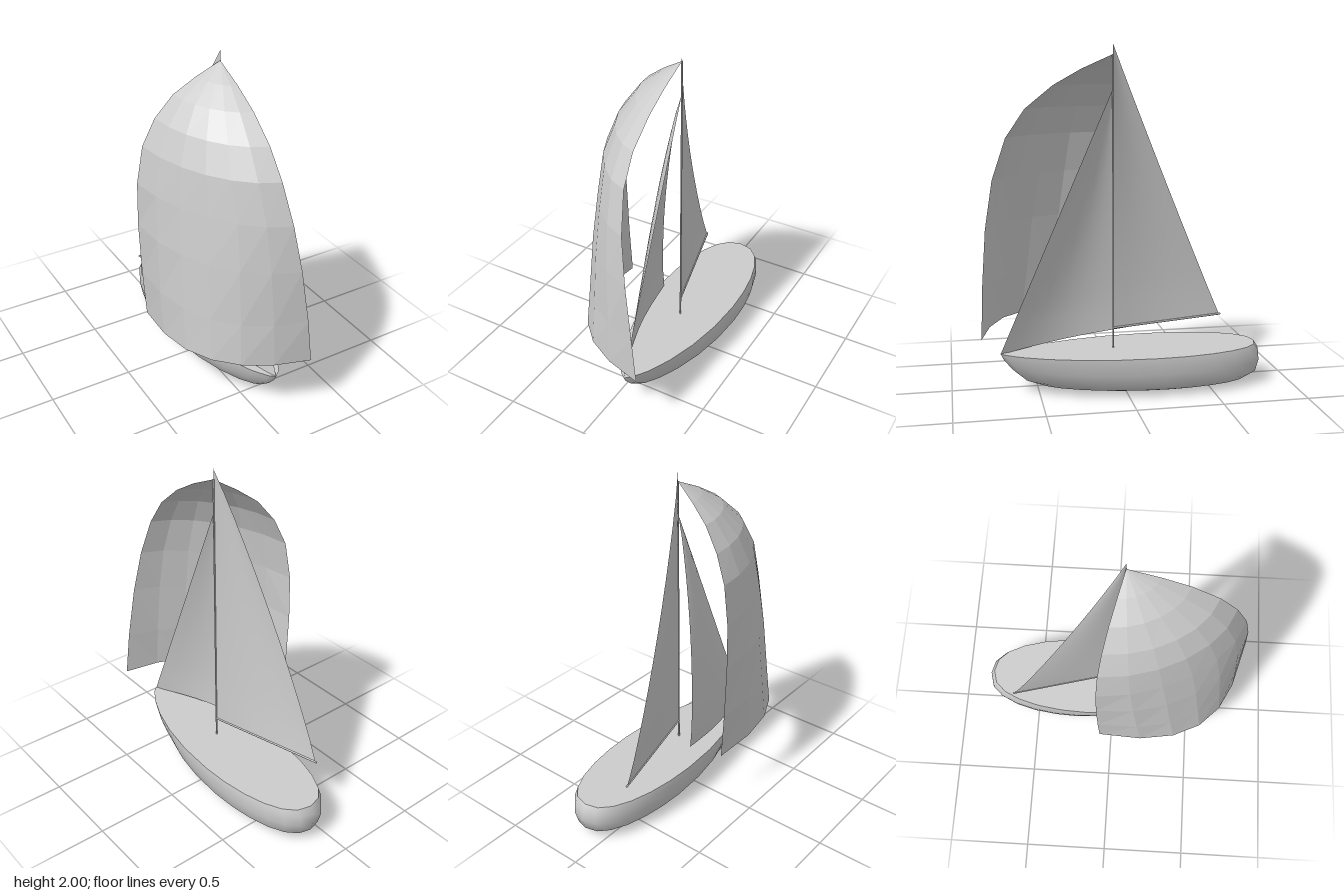
import * as THREE from 'three';

const grey = (extra = {}) => new THREE.MeshStandardMaterial({ color: 0xcccccc, ...extra });
const V = (x, y, z) => new THREE.Vector3(x, y, z);
const MAST_X = 0.1, MAST_Z = 0.06;

function named(name, geometry, material) {
  const mesh = new THREE.Mesh(geometry, material);
  mesh.name = name;
  return mesh;
}

function buildGeometry(points, index) {
  const g = new THREE.BufferGeometry().setFromPoints(points);
  g.setIndex(index);
  g.computeVertexNormals();
  return g;
}

// Sheet of cols x rows cells, point(u, v) gives the position
function sheet(cols, rows, point) {
  const pts = [], idx = [];
  for (let j = 0; j <= rows; j++)
    for (let i = 0; i <= cols; i++) pts.push(point(i / cols, j / rows, j));
  for (let j = 0; j < rows; j++)
    for (let i = 0; i < cols; i++) {
      const a = j * (cols + 1) + i, c = a + cols + 1;
      idx.push(a, a + 1, c, a + 1, c + 1, c);
    }
  return buildGeometry(pts, idx);
}

function spar(name, from, to, radius) {
  const dir = to.clone().sub(from);
  const mesh = named(name, new THREE.CylinderGeometry(radius, radius, dir.length(), 8), grey());
  mesh.position.copy(from).add(to).multiplyScalar(0.5);
  mesh.quaternion.setFromUnitVectors(V(0, 1, 0), dir.normalize());
  return mesh;
}

// Waterline outline: blunt stern, tapered bow
const SIDES = 24;
function waterline([y, bow, stern, width]) {
  const mid = stern + 0.42 * (bow - stern);
  return Array.from({ length: SIDES }, (_, i) => {
    const t = (i / SIDES) * Math.PI * 2, c = Math.cos(t), s = Math.sin(t);
    const w = Math.sign(c) * Math.abs(c) ** (s > 0 ? 1.45 : 0.85) * width;
    return V(MAST_X + w, y, mid + s * (s > 0 ? bow - mid : mid - stern));
  });
}

function makeHull() {
  const hull = new THREE.Group();
  hull.name = 'hull';
  // height, bow z, stern z, half width
  const levels = [
    [0.24, 0.72, -0.80, 0.255], [0.2, 0.70, -0.825, 0.258], [0.14, 0.65, -0.83, 0.25],
    [0.07, 0.57, -0.81, 0.235], [0.035, 0.47, -0.75, 0.20], [0.01, 0.3, -0.64, 0.135],
    [0, 0.15, -0.5, 0.07],
  ];
  const pts = levels.flatMap(waterline), idx = [];
  const last = (levels.length - 1) * SIDES, keel = pts.length;
  pts.push(V(MAST_X, 0, -0.18));
  for (let i = 0; i < SIDES; i++) {
    const n = (i + 1) % SIDES;
    for (let l = 0; l < last; l += SIDES)
      idx.push(l + i, l + n, l + SIDES + i, l + n, l + SIDES + n, l + SIDES + i);
    idx.push(keel, last + i, last + n);
  }
  hull.add(named('hullShell', buildGeometry(pts, idx), grey()));

  // Flat deck closing the top
  const rim = waterline(levels[0]), deckIdx = [];
  for (let i = 0; i < SIDES; i++) deckIdx.push(SIDES, (i + 1) % SIDES, i);
  hull.add(named('deck', buildGeometry([...rim, V(MAST_X, 0.24, -0.15)], deckIdx), grey()));
  return hull;
}

// Triangular sail; belly(u, v) pushes the cloth toward -x
function triangleSail(name, tack, clew, head, belly) {
  const g = sheet(8, 12, (u, v) => {
    const p = tack.clone().lerp(clew, u).lerp(head, v);
    p.x -= belly(u, v);
    return p;
  });
  return named(name, g, grey({ side: THREE.DoubleSide }));
}

// Ballooning front sail: each row is a curve between its two free edges
function makeSpinnaker() {
  // edge A: x, y, z; edge B: x, y; fullness of the row
  const rows = [
    [0.255, 0.375, 0.83, -0.325, 0.35, 1], [0.225, 0.65, 0.82, -0.345, 0.65, 0.65],
    [0.18, 0.98, 0.795, -0.358, 0.98, 0.3], [0.14, 1.25, 0.75, -0.355, 1.25, 0.05],
    [0.11, 1.48, 0.67, -0.32, 1.48, 0], [0.1, 1.64, 0.56, -0.25, 1.64, 0],
    [0.1, 1.77, 0.4, -0.15, 1.77, 0], [0.1, 1.86, 0.24, -0.03, 1.86, 0],
    [0.1, 1.94, 0.06, 0.1, 1.94, 0],
  ];
  const g = sheet(6, rows.length - 1, (u, v, j) => {
    const [ax, ay, az, bx, by, k] = rows[j];
    const w = 1 - u, b0 = w ** 3, b1 = 3 * w * w * u, b2 = 3 * w * u * u, b3 = u ** 3;
    const f = b0 + b1 * (1 + 0.08 * k) + b2 * (0.55 + 0.28 * k);
    const h = b1 * (0.55 + 0.58 * k) + b2 * (1 + 0.5 * k) + b3;
    const bz = -0.3 * (MAST_X - bx);
    return V(
      MAST_X + f * (ax - MAST_X) + h * (bx - MAST_X),
      ay + (by - ay) * u + (j === 0 ? 0.03 * Math.sin(Math.PI * u) : 0),
      MAST_Z + f * (az - MAST_Z) + h * bz,
    );
  });
  return named('spinnaker', g, grey({ side: THREE.DoubleSide, flatShading: true }));
}

export function createModel() {
  const boat = new THREE.Group();
  boat.name = 'sailboat';
  boat.add(makeHull());

  // Mast and boom
  const boomEnd = V(-0.086, 0.36, -0.645);
  boat.add(spar('mast', V(MAST_X, 0.23, MAST_Z), V(MAST_X, 1.94, MAST_Z), 0.005));
  boat.add(spar('boom', V(MAST_X, 0.36, MAST_Z), boomEnd, 0.006));

  // Sails
  const rise = (v) => Math.max(0, Math.sin(Math.PI * v)) ** 0.7;
  boat.add(triangleSail('mainsail', V(MAST_X, 0.365, MAST_Z), V(-0.085, 0.365, -0.635),
    V(MAST_X, 2, MAST_Z), (u, v) => 0.045 * rise(v) * Math.sin(2 * u)));
  boat.add(triangleSail('jib', V(MAST_X, 0.235, 0.72), V(-0.085, 0.305, -0.06),
    V(MAST_X, 1.75, MAST_Z),
    (u, v) => 0.05 * rise(v) * Math.sin(2 * u) + 0.04 * (1 - v) * Math.sin(Math.PI * u)));
  boat.add(makeSpinnaker());
  return boat;
}
